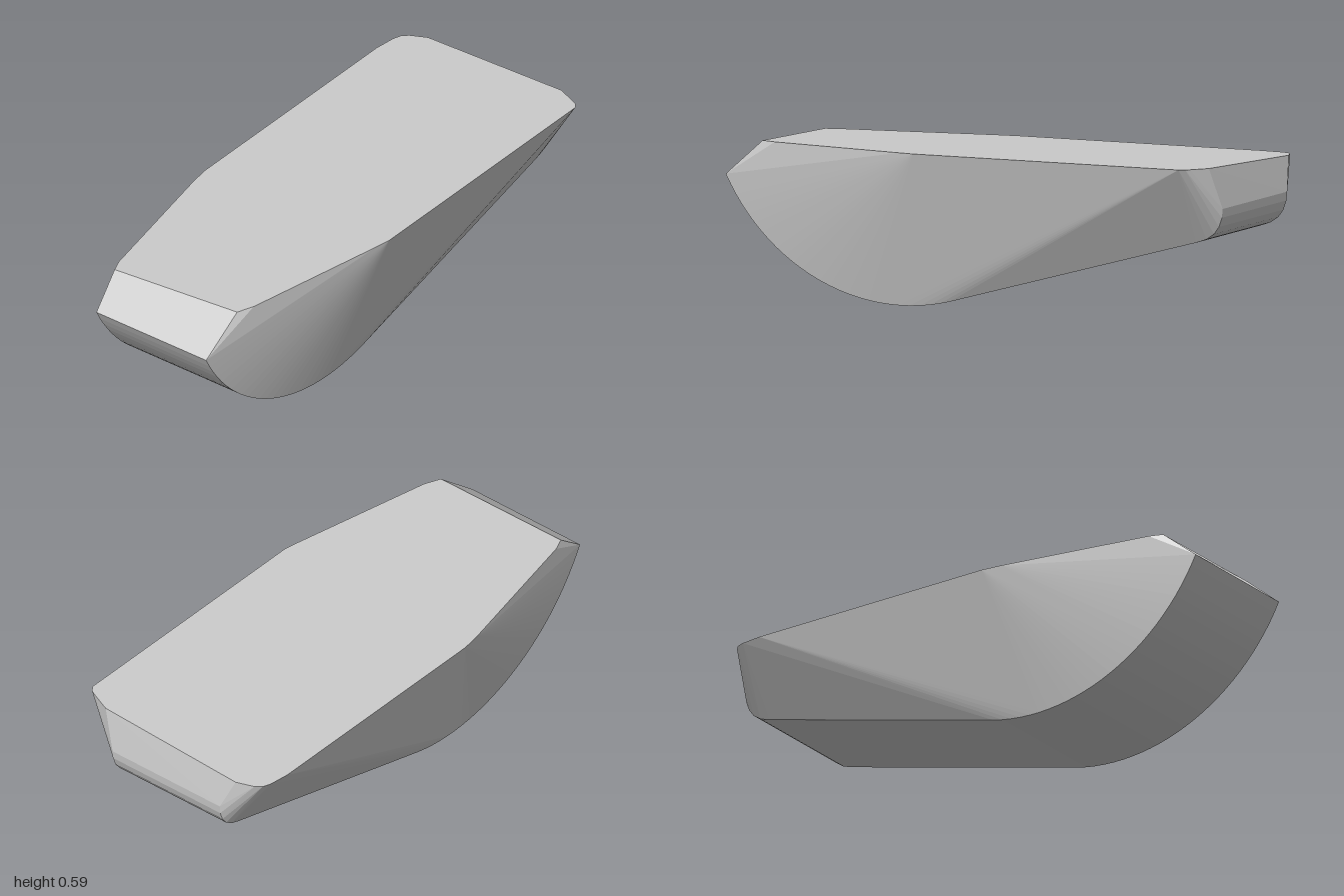
import * as THREE from 'three';
import { ConvexGeometry } from 'three/addons/geometries/ConvexGeometry.js';

// Faceted boat-shaped hull: a flat-sided keel flaring out to a slightly tilted deck
export function createModel() {
  const group = new THREE.Group();
  const points = [];

  // Keel profile in x, y: circular bow sweep, straight run, rounded stern
  const profile = [];
  const radius = 0.785, midX = -0.3, steps = 26;
  const a0 = -Math.asin(0.7 / radius), a1 = Math.asin(0.2 / radius);
  for (let i = 0; i <= steps; i++) {
    const a = a0 + (a1 - a0) * i / steps;
    profile.push([midX + radius * Math.sin(a), radius * (1 - Math.cos(a))]);
  }
  profile.push([0.895, 0.304], [0.935, 0.318], [0.965, 0.339], [0.985, 0.366], [0.997, 0.4], [1, 0.432]);
  for (const [x, y] of profile) {
    for (const z of [-0.255, 0.245]) points.push(new THREE.Vector3(x, y, z));
  }

  // Deck outline in x, z, lying on a gently sloping plane
  const deck = [
    [-0.87, -0.275], [-0.82, -0.295], [-0.25, -0.407], [-0.17, -0.418], [0.82, -0.418],
    [0.9, -0.408], [0.93, -0.397], [0.95, -0.375], [0.977, -0.31],
    [0.973, 0.3], [0.94, 0.38], [0.93, 0.4], [0.91, 0.414], [-0.16, 0.414], [-0.22, 0.403],
    [-0.78, 0.288], [-0.843, 0.262],
  ];
  for (const [x, z] of deck) {
    points.push(new THREE.Vector3(x, 0.559 + 0.0106 * x + 0.046 * z, z));
  }

  const hull = new THREE.Mesh(
    new ConvexGeometry(points),
    new THREE.MeshStandardMaterial({ color: 0xcccccc, flatShading: true })
  );
  hull.name = 'hull';
  group.add(hull);
  return group;
}
